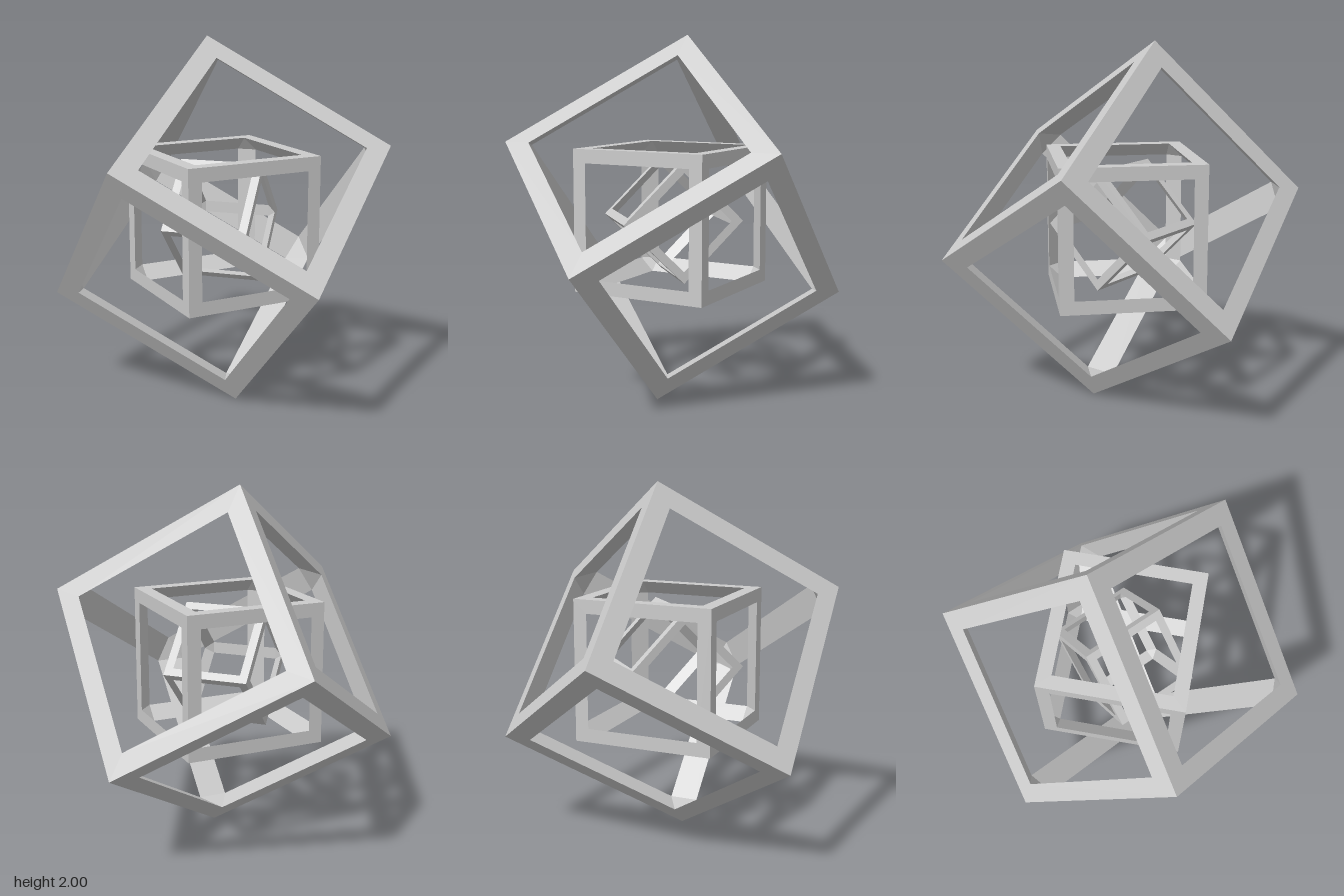
import * as THREE from 'three';
import { mergeGeometries } from 'three/addons/utils/BufferGeometryUtils.js';

const H = 0.5858; // half edge of the outer cube
const T = 0.113; // rim width of the outer cube
const material = new THREE.MeshStandardMaterial({ color: 0xcccccc, flatShading: true });

const axis = (i, s = 1) => new THREE.Vector3().setComponent(i, s);

// Lay a flat geometry at a point, with its x along u and its front along n
function place(geometry, u, n, position) {
  const v = new THREE.Vector3().crossVectors(n, u);
  const flat = geometry.toNonIndexed();
  flat.deleteAttribute('uv');
  return flat.applyMatrix4(new THREE.Matrix4().makeBasis(u, v, n).setPosition(position));
}

function square(Kind, r) {
  return new Kind([[-r, -r], [r, -r], [r, r], [-r, r]].map(([x, y]) => new THREE.Vector2(x, y)));
}

// Open cube whose bars have a triangular section, flat on the inside
function cubeFrame(name, scale) {
  const h = H * scale, t = T * scale, r = h - t;
  const parts = [];
  const rim = square(THREE.Shape, h);
  rim.holes.push(square(THREE.Path, r));

  for (let i = 0; i < 3; i++) {
    const j = (i + 1) % 3, k = (i + 2) % 3;
    for (const a of [-1, 1]) {
      // Outer square rim of each face
      const n = axis(i, a);
      parts.push(place(new THREE.ShapeGeometry(rim), axis(j), n, n.clone().multiplyScalar(h)));
      // Slanted inner side of each bar
      for (const b of [-1, 1]) {
        const out = axis(j, a).add(axis(k, b));
        const position = out.clone().multiplyScalar(h - t / 2);
        const inward = out.clone().normalize().negate();
        parts.push(place(new THREE.PlaneGeometry(2 * r, t * Math.SQRT2), axis(i), inward, position));
      }
    }
  }

  // Small triangle inside each corner
  for (const x of [-1, 1]) for (const y of [-1, 1]) for (const z of [-1, 1]) {
    const points = [[h, r, r], [r, r, h], [r, h, r]]
      .map(([a, b, c]) => new THREE.Vector3(a * x, b * y, c * z));
    if (x * y * z < 0) points.reverse();
    const corner = new THREE.BufferGeometry().setFromPoints(points);
    corner.computeVertexNormals();
    parts.push(corner);
  }

  const mesh = new THREE.Mesh(mergeGeometries(parts), material);
  mesh.name = name;
  mesh.position.y = 1;
  return mesh;
}

export function createModel() {
  const model = new THREE.Group();
  model.name = 'nestedCubeFrames';

  const outer = cubeFrame('outerCubeFrame', 1);
  outer.rotation.set(Math.PI / 4, Math.PI / 4, 0);

  const middle = cubeFrame('middleCubeFrame', 2 / 3);

  const inner = cubeFrame('innerCubeFrame', 0.4);
  inner.rotation.set(Math.PI / 4, -Math.PI / 4, 0, 'YXZ');

  model.add(outer, middle, inner);
  return model;
}
